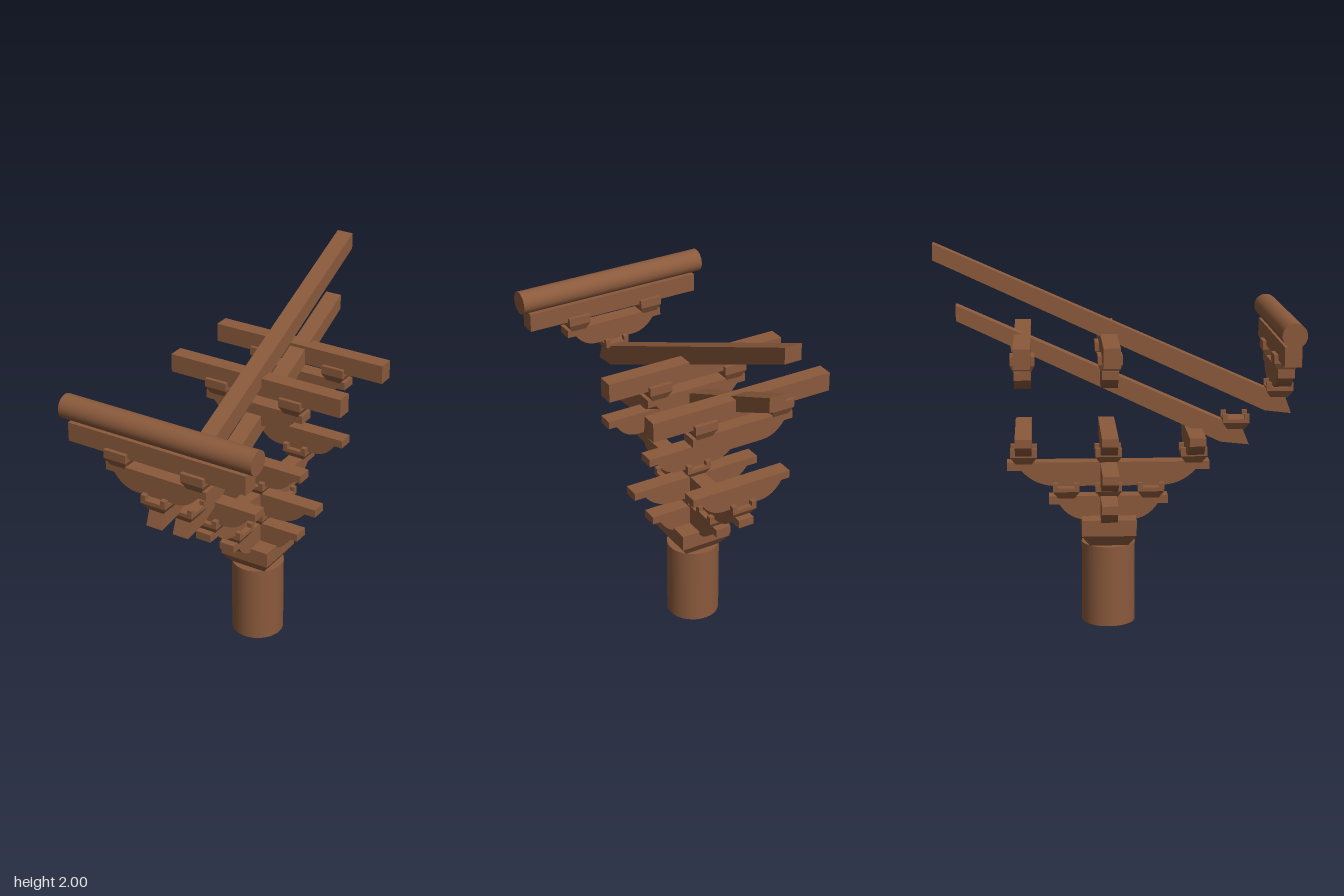
import * as THREE from 'three';

export function createModel() {
  const model = new THREE.Group();
  model.name = 'timberBracketSet';
  const wood = new THREE.MeshStandardMaterial({ color: 0x8b5a3c });
  wood.name = 'brown wood';
  const W = 0.085;      // timber thickness
  const CZ = -0.03;     // column axis

  function add(parent, name, geo, x = 0, y = 0, z = 0) {
    const mesh = new THREE.Mesh(geo, wood);
    mesh.name = name;
    mesh.position.set(x, y, z);
    parent.add(mesh);
    return mesh;
  }

  // Square tapered block, standing on y = 0, with flat faces
  function taper(bottom, top, h) {
    const g = new THREE.CylinderGeometry(top / Math.SQRT2, bottom / Math.SQRT2, h, 4)
      .rotateY(Math.PI / 4).translate(0, h / 2, 0).toNonIndexed();
    g.computeVertexNormals();
    return g;
  }

  function extrude(shape, width) {
    return new THREE.ExtrudeGeometry(shape, { depth: width, bevelEnabled: false, curveSegments: 8 })
      .translate(0, 0, -width / 2);
  }

  // Bracket arm with rounded underside; alongZ turns it front to back
  function arm(name, half, bottom, top, z, alongZ = false, start = 0.83, flat = 0.37) {
    const lip = top - 0.043, s = half * start, f = half * flat;
    const c = f + (s - f) * 0.62;
    const p = new THREE.Shape();
    p.moveTo(-half, top);
    p.lineTo(-half, lip);
    p.lineTo(-s, lip);
    p.quadraticCurveTo(-c, bottom, -f, bottom);
    p.lineTo(f, bottom);
    p.quadraticCurveTo(c, bottom, s, lip);
    p.lineTo(half, lip);
    p.lineTo(half, top);
    const mesh = add(model, name, extrude(p, W), 0, 0, z);
    if (alongZ) mesh.rotation.y = -Math.PI / 2;
  }

  // Small bearing block: tapered foot, body and raised ears beside the groove
  function block(name, x, y, z, size, cross) {
    const g = new THREE.Group();
    g.name = name;
    g.position.set(x, y, z);
    add(g, 'blockFoot', taper(W, size, 0.04));
    add(g, 'blockBody', new THREE.BoxGeometry(size, 0.02, size), 0, 0.05, 0);
    const ear = (size - W) / 2, off = (size - ear) / 2;
    for (const sz of [-1, 1]) {
      if (cross) {
        for (const sx of [-1, 1])
          add(g, 'blockEar', new THREE.BoxGeometry(ear, 0.025, ear), sx * off, 0.0725, sz * off);
      } else {
        add(g, 'blockEar', new THREE.BoxGeometry(size, 0.025, ear), 0, 0.0725, sz * off);
      }
    }
    model.add(g);
  }

  // Column and its cap block
  add(model, 'column', new THREE.CylinderGeometry(0.14, 0.14, 0.43, 32), 0, 0.215, CZ);
  add(model, 'capFoot', taper(0.2, 0.284, 0.06), 0, 0.43, CZ);
  add(model, 'capBody', new THREE.BoxGeometry(0.284, 0.085, 0.284), 0, 0.5325, CZ);

  // First tier: crossed arms and three blocks
  arm('lowerCrossArm', 0.265, 0.555, 0.682, CZ);
  arm('lowerLongArm', 0.31, 0.555, 0.682, CZ, true);
  for (const z of [0.19, CZ, -0.25]) block('lowerBlock', 0, 0.67, z, 0.138, true);

  // Second tier: wider crossed arms and three blocks
  arm('middleCrossArm', 0.37, 0.737, 0.863, CZ);
  arm('middleLongArm', 0.527, 0.737, 0.863, CZ, true, 0.86, 0.5);
  for (const z of [0.413, CZ, -0.47]) block('middleBlock', 0, 0.855, z, 0.138, true);

  // Third tier: three cross arms
  for (const z of [0.413, CZ, -0.47]) arm('upperCrossArm', 0.28, 0.915, 1.037, z);

  // Slanting lever arms with pointed front ends, profile given as [z, y]
  const levers = {
    lowerLever: [[0.668, 1.029], [-0.805, 1.687], [-0.805, 1.607], [0.551, 0.966], [0.7, 0.95]],
    upperLever: [[0.885, 1.199], [-0.917, 2.0], [-0.917, 1.915], [0.779, 1.13], [0.917, 1.114]],
  };
  for (const [name, pts] of Object.entries(levers)) {
    const shape = new THREE.Shape(pts.map(([z, y]) => new THREE.Vector2(z, y)));
    add(model, name, extrude(shape, 0.09).rotateY(-Math.PI / 2));
  }
  block('lowerLeverBlock', 0, 1.029, 0.63, 0.138, true);
  block('upperLeverBlock', 0, 1.195, 0.853, 0.138, true);

  // Top tier: arms carrying two blocks and a straight beam each
  for (const z of [0.853, CZ, -0.47]) {
    arm('topArm', 0.285, 1.268, 1.384, z);
    for (const x of [-0.218, 0.218]) block('topBlock', x, 1.375, z, 0.125, false);
    add(model, 'beam', new THREE.BoxGeometry(1, 0.1, W), 0, 1.485, z);
  }

  // Round eave purlin at the front
  add(model, 'purlin', new THREE.CylinderGeometry(0.062, 0.062, 1.08, 32).rotateZ(Math.PI / 2), 0, 1.596, 0.853);

  return model;
}
